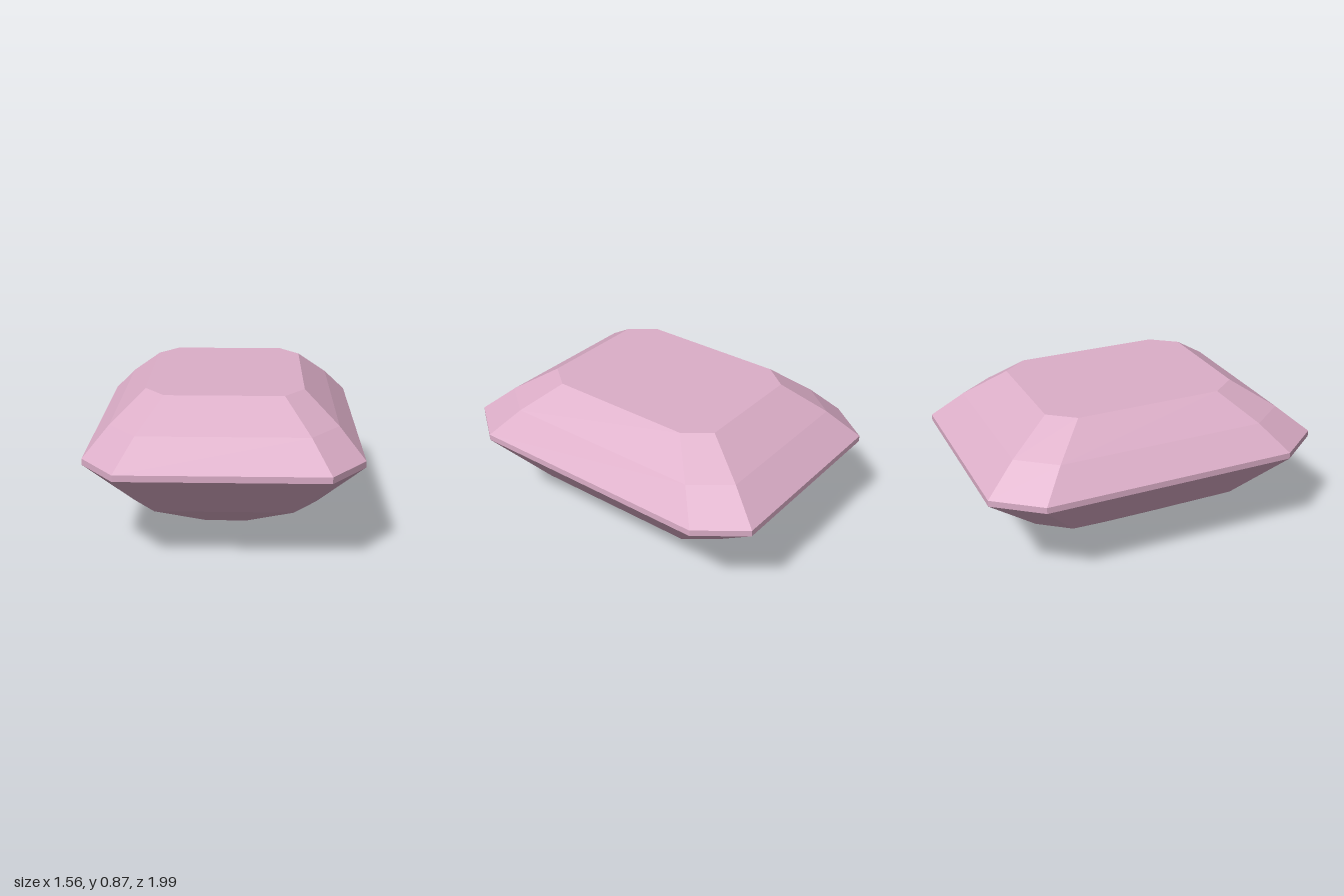
import * as THREE from 'three';

// Step-cut gem: one octagonal outline, scaled at each height.
const HALF_X = 0.748, HALF_Z = 0.972, CUT = 0.743, TURN = 0.045;

// Outline corners, running from +z towards +x.
const outline = [
  [CUT, 1], [1, CUT], [1, -CUT], [CUT, -1],
  [-CUT, -1], [-1, -CUT], [-1, CUT], [-CUT, 1],
].map(([x, z]) => [x * HALF_X, z * HALF_Z]);

const corner = ([scale, y], i) => {
  const [x, z] = outline[i % 8];
  return [x * scale, y, z * scale];
};

function facetGeometry(triangles) {
  const g = new THREE.BufferGeometry();
  g.setAttribute('position', new THREE.Float32BufferAttribute(triangles.flat(), 3));
  g.computeVertexNormals(); // unshared corners keep each facet flat
  return g;
}

// Bands of facets between consecutive rings, listed bottom to top as [scale, y].
function bands(rings) {
  const t = [];
  for (let r = 0; r < rings.length - 1; r++) {
    for (let i = 0; i < 8; i++) {
      const a = corner(rings[r], i), b = corner(rings[r], i + 1);
      const c = corner(rings[r + 1], i + 1), d = corner(rings[r + 1], i);
      t.push(a, b, c, a, c, d);
    }
  }
  return facetGeometry(t);
}

// Flat octagon closing a ring.
function cap(ring, up) {
  const t = [];
  for (let i = 0; i < 8; i++) {
    const a = corner(ring, i), b = corner(ring, i + 1);
    t.push([0, ring[1], 0], ...(up ? [a, b] : [b, a]));
  }
  return facetGeometry(t);
}

export function createModel() {
  const gem = new THREE.Group();
  gem.name = 'gem';
  const pink = new THREE.MeshStandardMaterial({ color: 0xdcaec8, flatShading: true });
  pink.name = 'pink';

  const culet = [0.216, 0], lowerStep = [0.68, 0.24];
  const girdleLow = [1, 0.525], girdleHigh = [1, 0.56];
  const upperStep = [0.82, 0.71], table = [0.579, 0.865];

  const parts = {
    culet: cap(culet, false),
    pavilion: bands([culet, lowerStep, girdleLow]),
    girdle: bands([girdleLow, girdleHigh]),
    crown: bands([girdleHigh, upperStep, table]),
    table: cap(table, true),
  };
  for (const [name, geometry] of Object.entries(parts)) {
    const mesh = new THREE.Mesh(geometry, pink);
    mesh.name = name;
    gem.add(mesh);
  }

  // The stone sits slightly turned.
  gem.rotation.y = TURN;
  return gem;
}
